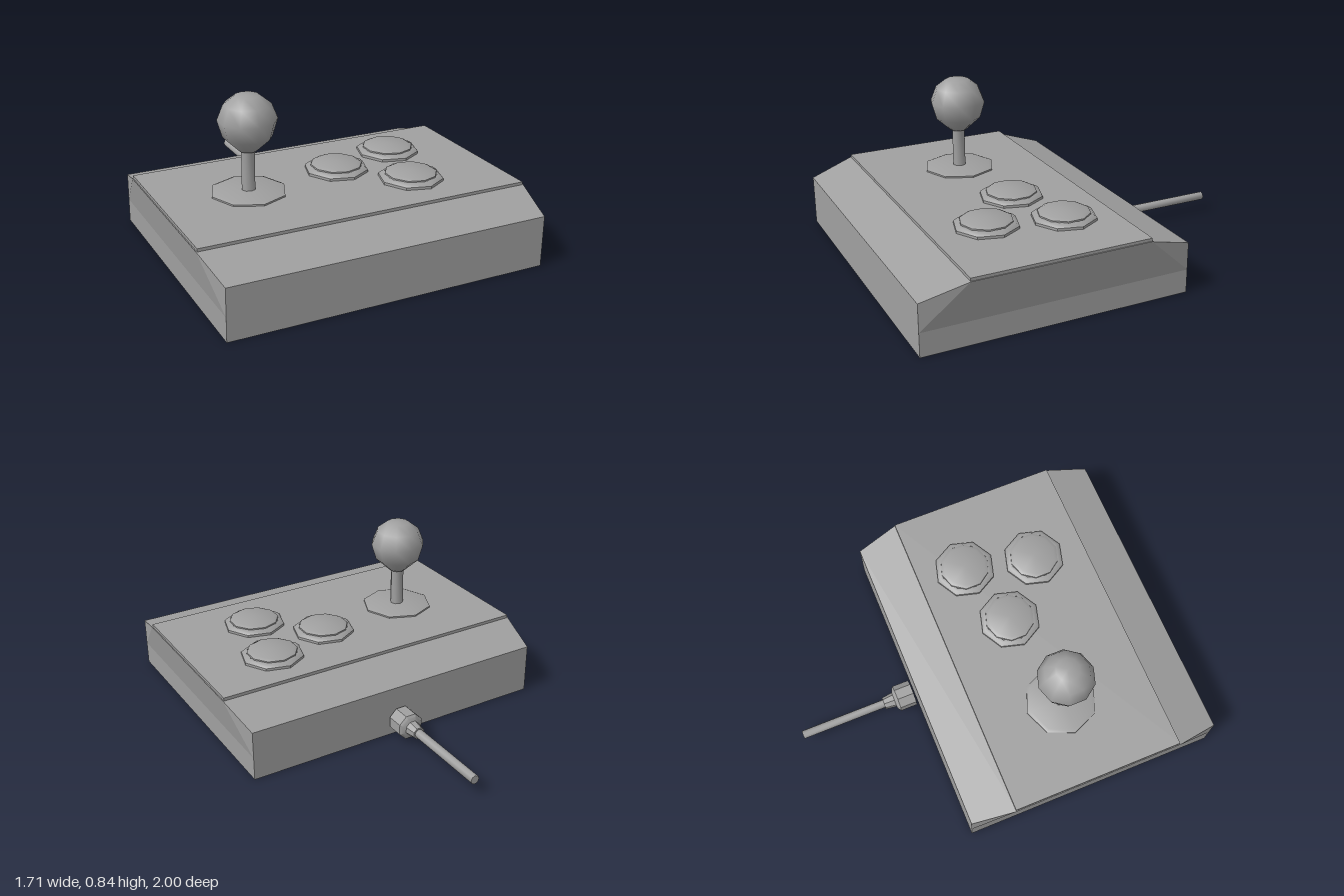
import * as THREE from 'three';
import { toCreasedNormals } from 'three/addons/utils/BufferGeometryUtils.js';

const grey = new THREE.MeshStandardMaterial({ color: 0xa0a0a0 });
grey.name = 'grey plastic';

function add(parent, name, geometry, x = 0, y = 0, z = 0) {
  const mesh = new THREE.Mesh(geometry, grey);
  mesh.name = name;
  mesh.position.set(x, y, z);
  parent.add(mesh);
  return mesh;
}

function lathe(points, sides, crease = 0.7, turn = 0) {
  const profile = points.map(([r, y]) => new THREE.Vector2(r, y));
  return toCreasedNormals(new THREE.LatheGeometry(profile, sides, turn), crease);
}

// Case: a side outline joined across x, flaring outward toward the top
function caseGeometry() {
  const ring = [ // half width, height, depth
    [0.815, 0, 1], [0.815, 0.12, 1], [0.815, 0.26, 1], [0.855, 0.33, 0.77],
    [0.855, 0.33, -0.13], [0.815, 0.26, -0.36], [0.815, 0.12, -0.36], [0.815, 0, -0.36],
  ];
  const sideFaces = [[0, 7, 6], [0, 6, 1], [1, 3, 2], [1, 6, 4], [1, 4, 3], [4, 6, 5]];
  const positions = [];
  const put = (i, s) => positions.push(ring[i][0] * s, ring[i][1], ring[i][2]);
  ring.forEach((_, i) => {
    const j = (i + 1) % ring.length;
    put(i, -1); put(i, 1); put(j, 1);
    put(i, -1); put(j, 1); put(j, -1);
  });
  for (const [a, b, c] of sideFaces) {
    put(a, 1); put(b, 1); put(c, 1);
    put(a, -1); put(c, -1); put(b, -1);
  }
  const g = new THREE.BufferGeometry();
  g.setAttribute('position', new THREE.Float32BufferAttribute(positions, 3));
  g.computeVertexNormals();
  return g;
}

export function createModel() {
  const model = new THREE.Group();
  model.name = 'arcadeStickController';

  add(model, 'case', caseGeometry());
  add(model, 'topPlate', new THREE.BoxGeometry(1.7, 0.02, 0.905), 0, 0.335, 0.318);

  // Joystick
  const stick = new THREE.Group();
  stick.name = 'joystick';
  stick.position.set(-0.41, 0, 0.3);
  model.add(stick);
  add(stick, 'joystickCollar', lathe([[0.188, 0.34], [0.188, 0.353], [0.17, 0.36], [0, 0.361]], 8));
  add(stick, 'joystickShaft', lathe([[0.035, 0.35], [0.035, 0.58]], 8, 1));
  add(stick, 'joystickBall', lathe([
    [0, 0.56], [0.045, 0.56], [0.12, 0.63], [0.145, 0.715],
    [0.115, 0.79], [0.06, 0.833], [0, 0.836],
  ], 10, 1.2));

  // Three push buttons, each a rim with a shallow domed cap
  for (const [x, z] of [[0.1, 0.23], [0.46, 0.12], [0.38, 0.49]]) {
    const button = new THREE.Group();
    button.name = 'button';
    button.position.set(x, 0, z);
    model.add(button);
    add(button, 'buttonRim',
      lathe([[0.162, 0.34], [0.162, 0.358], [0.145, 0.372], [0.13, 0.374], [0.125, 0.36]], 8, 0.7, 0.12));
    add(button, 'buttonCap',
      lathe([[0.132, 0.355], [0.13, 0.38], [0.112, 0.389], [0, 0.391]], 10));
  }

  // Cable leaving the back, with its plug and strain relief
  const cable = new THREE.Group();
  cable.name = 'cableAssembly';
  cable.position.set(0, 0.085, 0);
  cable.rotation.x = -Math.PI / 2;
  model.add(cable);
  add(cable, 'plug', lathe([
    [0, 0.375], [0.07, 0.375], [0.07, 0.465], [0.058, 0.475], [0.04, 0.482],
    [0.032, 0.54], [0, 0.54],
  ], 8, 0.5, Math.PI / 8));
  add(cable, 'cable', lathe([[0.023, 0.53], [0.023, 1], [0, 1]], 8, 1));

  return model;
}
